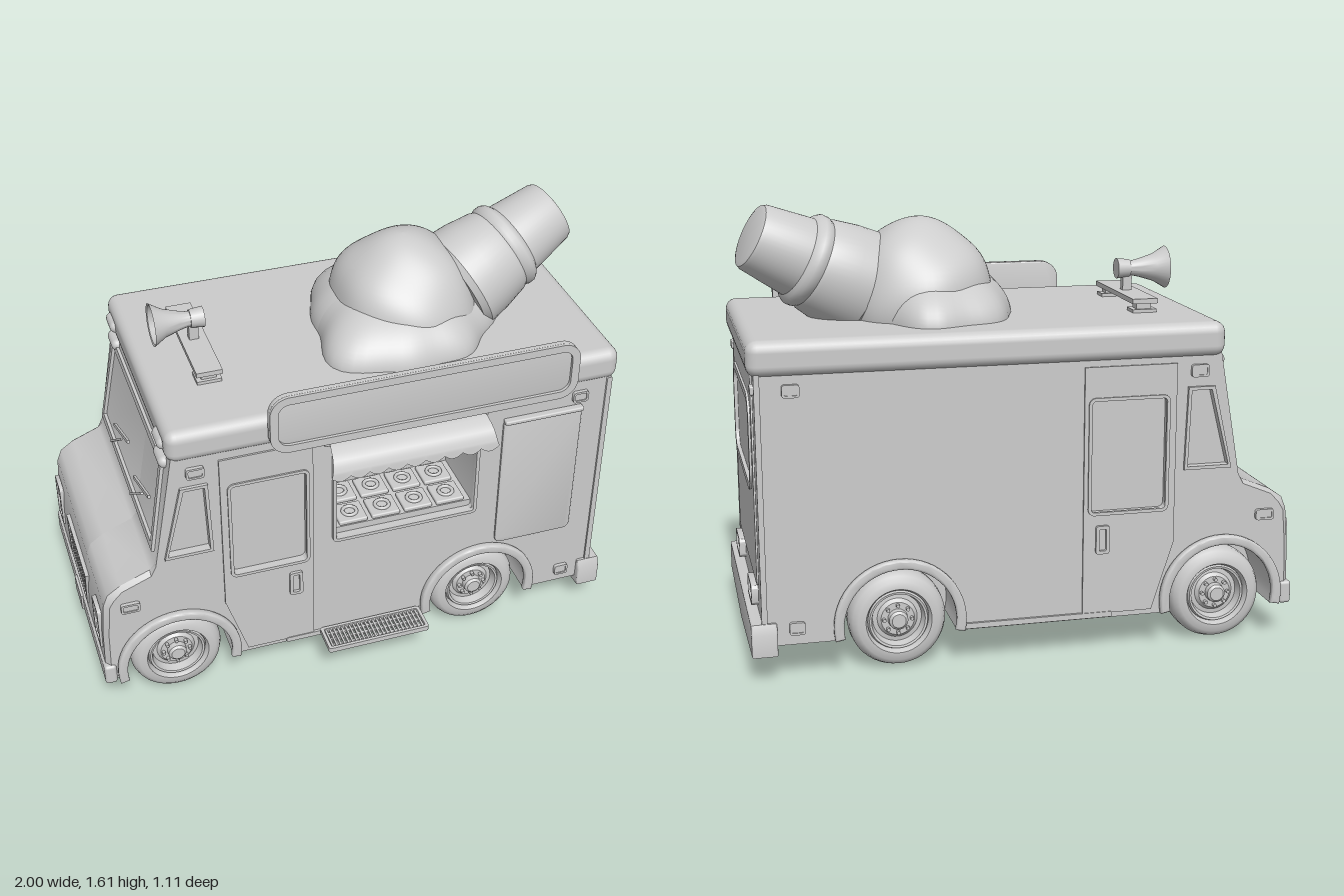
import * as THREE from 'three';
import { toCreasedNormals } from 'three/addons/utils/BufferGeometryUtils.js';
import { RoundedBoxGeometry } from 'three/addons/geometries/RoundedBoxGeometry.js';
import { ParametricGeometry } from 'three/addons/geometries/ParametricGeometry.js';

const grey = new THREE.MeshStandardMaterial({ color: 0xcccccc });
const greyDouble = new THREE.MeshStandardMaterial({ color: 0xcccccc, side: THREE.DoubleSide });
const LEFT = 0.42, RIGHT = -0.52, MID = -0.05;
const WHEELS = [-0.71, 0.48];

function add(parent, name, geo, x = 0, y = 0, z = 0, mat = grey) {
  const m = new THREE.Mesh(geo, mat);
  m.name = name;
  m.position.set(x, y, z);
  parent.add(m);
  return m;
}
const box = (w, h, d, r = 0) => r ? new RoundedBoxGeometry(w, h, d, 3, r) : new THREE.BoxGeometry(w, h, d);
const lathe = (pts, n = 40) => toCreasedNormals(new THREE.LatheGeometry(pts.map(p => new THREE.Vector2(...p)), n), 0.6);
const poly = pts => new THREE.Shape(pts.map(p => new THREE.Vector2(...p)));

// Rounded rectangle centred on cx, cy
function rr(cx, cy, w, h, r) {
  const s = new THREE.Shape(), x = w / 2 - r, y = h / 2 - r;
  s.absarc(cx + x, cy + y, r, 0, Math.PI / 2);
  s.absarc(cx - x, cy + y, r, Math.PI / 2, Math.PI);
  s.absarc(cx - x, cy - y, r, Math.PI, Math.PI * 1.5);
  s.absarc(cx + x, cy - y, r, Math.PI * 1.5, Math.PI * 2);
  s.closePath();
  return s;
}
function slab(shape, depth, holes = [], bevel = 0) {
  shape.holes.push(...holes);
  const g = new THREE.ExtrudeGeometry(shape, {
    depth: depth - 2 * bevel, curveSegments: 16, bevelEnabled: bevel > 0,
    bevelSize: bevel, bevelThickness: bevel, bevelOffset: -bevel, bevelSegments: 3,
  });
  g.translate(0, 0, bevel);
  return toCreasedNormals(g, 0.6);
}
const frame = (cx, cy, w, h, r, t, d) => slab(rr(cx, cy, w, h, r), d, [rr(cx, cy, w - 2 * t, h - 2 * t, Math.max(r - t, 0.005))]);

// Same part on both side walls
function bothSides(parent, name, make, depth) {
  add(parent, name, make(), 0, 0, LEFT);
  add(parent, name, make(), 0, 0, RIGHT - depth);
}

// Side outline of the body with wheel arches
function profile() {
  const s = poly([[-0.985, 0.15], [-0.98, 0.35], [-0.968, 0.49], [-0.95, 0.535], [-0.9, 0.57], [-0.79, 0.615], [-0.77, 0.64], [-0.69, 1.1], [0.96, 1.1], [0.96, 0.13]]);
  for (const x of [...WHEELS].reverse()) s.absarc(x, 0.18, 0.21, -0.24, Math.PI + 0.24, false);
  return s;
}
const servingHole = () => rr(0.17, 0.8, 0.54, 0.4, 0.015);
const doorWindow = () => rr(-0.35, 0.735, 0.28, 0.41, 0.02);
const quarter = s => poly([[-0.725 - s, 0.68 - s], [-0.57 + s, 0.68 - s], [-0.58 + s, 0.96 + s], [-0.655 - s, 0.96 + s]]);

function buildBody(g) {
  add(g, 'bodyCore', slab(profile(), 0.6), 0, 0, -0.5);
  add(g, 'bodyServingBay', slab(profile(), 0.3, [servingHole()]), 0, 0, 0.1);
  for (const left of [true, false]) {
    const holes = [doorWindow(), quarter(0)];
    if (left) holes.push(servingHole());
    const skin = slab(profile(), 0.02, holes), p = skin.attributes.position;
    // Chamfer the nose and hood towards the outer face
    for (let i = 0; i < p.count; i++) {
      if ((p.getZ(i) > 0.01) !== left) continue;
      if (p.getX(i) < -0.94) p.setX(i, p.getX(i) + 0.018);
      if (p.getX(i) < -0.78 && p.getY(i) > 0.5) p.setY(i, p.getY(i) - 0.015);
    }
    add(g, 'sideSkin', toCreasedNormals(skin, 0.6), 0, 0, left ? 0.4 : RIGHT);
  }
  add(g, 'underbody', box(1.86, 0.3, 0.5), 0, 0.28, MID);
  add(g, 'roofCap', box(1.69, 0.125, 0.97, 0.04), 0.14, 1.14, -0.055);
  // Fender flares
  for (const x of WHEELS) bothSides(g, 'fender', () => {
    const s = new THREE.Shape();
    s.absarc(x, 0.18, 0.235, -0.2, Math.PI + 0.2, false);
    s.absarc(x, 0.18, 0.2, Math.PI + 0.2, -0.2, true);
    return slab(s, 0.03, [], 0.008);
  }, 0.03);
  // Cab doors, window trims, handles and hinges
  bothSides(g, 'cabDoor', () => slab(poly([[-0.525, 1.06], [-0.525, 0.4], [-0.445, 0.15], [-0.185, 0.15], [-0.185, 1.06]]), 0.007, [doorWindow()]), 0.007);
  bothSides(g, 'doorWindowTrim', () => frame(-0.35, 0.735, 0.3, 0.43, 0.025, 0.012, 0.013), 0.013);
  bothSides(g, 'quarterWindowTrim', () => slab(quarter(0.012), 0.012, [quarter(0)]), 0.012);
  bothSides(g, 'doorHandle', () => frame(-0.255, 0.43, 0.05, 0.105, 0.01, 0.012, 0.018), 0.018);
  bothSides(g, 'sill', () => slab(rr(-0.02, 0.145, 0.55, 0.02, 0.005), 0.01), 0.01);
  bothSides(g, 'rearPillar', () => slab(rr(0.952, 0.65, 0.02, 0.88, 0.005), 0.008), 0.008);
  for (const [x, y, w, h] of [[-0.61, 1.03, 0.065, 0.045], [0.84, 1.03, 0.06, 0.045], [0.84, 0.19, 0.055, 0.045], [-0.875, 0.48, 0.07, 0.04]]) {
    bothSides(g, 'markerRim', () => frame(x, y, w, h, 0.01, 0.008, 0.014), 0.014);
    bothSides(g, 'markerLight', () => slab(rr(x, y, w - 0.016, h - 0.016, 0.005), 0.01), 0.01);
  }
}

function buildFront(g) {
  const f = new THREE.Group();
  f.name = 'frontFace';
  f.position.set(-0.974, 0, MID);
  f.rotation.y = -Math.PI / 2;
  g.add(f);
  const grilleShape = k => poly([[-0.16 * k, 0.335 - 0.08 * k], [0.16 * k, 0.335 - 0.08 * k], [0.19 * k, 0.335 + 0.08 * k], [-0.19 * k, 0.335 + 0.08 * k]]);
  add(f, 'grilleFrame', slab(grilleShape(1), 0.015, [grilleShape(0.88)]));
  for (let i = 0; i < 5; i++) add(f, 'grilleBar', box(0.29 + i * 0.011, 0.008, 0.012), 0, 0.28 + i * 0.027, 0.006);
  for (let i = -4; i <= 4; i++) add(f, 'grilleSlat', box(0.007, 0.14, 0.01), i * 0.034, 0.335, 0.006);
  for (const s of [-1, 1]) {
    add(f, 'headlightFrame', frame(s * 0.37, 0.35, 0.105, 0.18, 0.012, 0.013, 0.016));
    for (const y of [0.312, 0.388]) {
      const lamp = add(f, 'headlight', new THREE.SphereGeometry(0.033, 20, 12), s * 0.37, y, 0.003);
      lamp.scale.z = 0.4;
    }
  }
  add(f, 'frontBumper', box(0.96, 0.085, 0.045, 0.012), 0, 0.17, -0.004);
  add(f, 'plate', box(0.13, 0.065, 0.012), 0, 0.175, 0.02);

  // Sloping windscreen with trim and wipers
  const w = new THREE.Group();
  w.name = 'windscreen';
  w.position.set(-0.729, 0.866, MID);
  w.rotation.set(0, -Math.PI / 2, -0.173, 'ZYX');
  g.add(w);
  const pane = k => poly([[-0.43 + k, -0.19 + k], [0.43 - k, -0.19 + k], [0.405 - k, 0.19 - k], [-0.405 + k, 0.19 - k]]);
  add(w, 'windscreenTrim', slab(pane(0), 0.014, [pane(0.025)]));
  for (const x of [-0.2, 0.14]) {
    add(w, 'wiperArm', box(0.17, 0.008, 0.01), x + 0.04, -0.12, 0.018).rotation.z = 0.65;
    add(w, 'wiperBlade', box(0.22, 0.011, 0.01), x + 0.08, -0.06, 0.014).rotation.z = 0.3;
  }
  // Paired lamps on the brow
  for (const s of [-1, 1]) for (const y of [1.055, 1.135]) {
    const lamp = add(g, 'browLamp', new THREE.CapsuleGeometry(0.024, 0.06, 6, 14), -0.7, y, MID + s * 0.38);
    lamp.rotation.x = Math.PI / 2;
  }
}

function buildRear(g) {
  const r = new THREE.Group();
  r.name = 'rearFace';
  r.position.set(0.96, 0, MID);
  r.rotation.y = Math.PI / 2;
  g.add(r);
  add(r, 'rearPanel', slab(rr(0, 0.7, 0.75, 0.76, 0.01), 0.006, [rr(0, 0.815, 0.64, 0.31, 0.07)]));
  add(r, 'rearWindowTrim', frame(0, 0.815, 0.68, 0.35, 0.085, 0.025, 0.014));
  for (const s of [-1, 1]) {
    add(r, 'tailLightRim', frame(s * 0.27, 0.275, 0.16, 0.075, 0.018, 0.01, 0.025));
    add(r, 'tailLight', slab(rr(s * 0.27, 0.275, 0.14, 0.055, 0.01), 0.018));
    add(r, 'topMarker', box(0.05, 0.03, 0.015, 0.005), s * 0.42, 1.03, 0.005);
  }
  add(r, 'rearBumper', slab(poly([[-0.495, 0.1], [0, 0.065], [0.495, 0.1], [0.495, 0.18], [0.48, 0.215], [-0.48, 0.215], [-0.495, 0.18]]), 0.09, [], 0.006), 0, 0, -0.05);
}

function buildServing(g) {
  // Counter with tubs inside the opening
  add(g, 'counter', box(0.54, 0.03, 0.3), 0.17, 0.612, 0.25);
  for (let i = 0; i < 4; i++) for (let j = 0; j < 2; j++) {
    const x = -0.02 + i * 0.127, z = 0.22 + j * 0.125;
    add(g, 'tubLid', box(0.11, 0.018, 0.105, 0.006), x, 0.635, z);
    add(g, 'tubOpening', new THREE.TorusGeometry(0.026, 0.007, 8, 20), x, 0.646, z).rotation.x = Math.PI / 2;
  }
  add(g, 'backCabinet', box(0.54, 0.18, 0.05), 0.17, 0.69, 0.125);
  add(g, 'backPanelTrim', frame(0.17, 0.88, 0.48, 0.13, 0.015, 0.012, 0.015), 0, 0, 0.1);
  add(g, 'openingTrim', frame(0.17, 0.8, 0.565, 0.425, 0.02, 0.013, 0.015), 0, 0, LEFT);
  // Curved awning with a scalloped valance
  const section = new THREE.CatmullRomCurve3([[1.055, 0.42], [1.045, 0.46], [1.02, 0.505], [0.985, 0.525], [0.965, 0.53]].map(p => new THREE.Vector3(0, ...p)));
  add(g, 'awning', new ParametricGeometry((u, v, t) => {
    section.getPoint(v, t);
    t.x = 0.165 + (u - 0.5) * (0.58 + 0.05 * v);
    t.y -= 0.018 * Math.abs(Math.sin(u * Math.PI * 9)) * Math.max(0, v - 0.75) * 4;
  }, 108, 16), 0, 0, 0, greyDouble);
  add(g, 'awningRail', box(0.62, 0.03, 0.02, 0.006), 0.165, 1.05, 0.428);
  // Side board with a small hood
  add(g, 'menuBoard', slab(rr(0.695, 0.7, 0.31, 0.58, 0.025), 0.012, [], 0.003), 0, 0, LEFT);
  add(g, 'menuHood', box(0.31, 0.018, 0.03, 0.006), 0.695, 0.985, 0.435);
  // Folding step
  add(g, 'stepFrame', frame(0, 0, 0.4, 0.12, 0.01, 0.012, 0.02), 0.035, 0.155, 0.495).rotation.x = -Math.PI / 2;
  for (let i = 0; i < 24; i++) add(g, 'stepSlat', box(0.008, 0.012, 0.1), -0.145 + i * 0.0157, 0.163, 0.495);
  for (let j = 0; j < 3; j++) add(g, 'stepBar', box(0.38, 0.01, 0.01), 0.035, 0.16, 0.465 + j * 0.03);
  for (const x of [-0.12, 0.19]) add(g, 'stepBracket', box(0.03, 0.02, 0.13), x, 0.145, 0.46);
  // Long roof sign
  add(g, 'signBoard', slab(rr(0.225, 1.185, 1.15, 0.23, 0.07), 0.022, [], 0.004), 0, 0, 0.434);
  add(g, 'signBorder', frame(0.225, 1.185, 1.15, 0.23, 0.07, 0.03, 0.012), 0, 0, 0.456);
  for (const x of [-0.2, 0.65]) add(g, 'signMount', box(0.04, 0.04, 0.03), x, 1.14, 0.425);
}

function buildWheels(g) {
  for (const x of WHEELS) for (const s of [1, -1]) {
    const w = new THREE.Group();
    w.name = 'wheel';
    w.position.set(x, 0.175, MID + s * 0.378);
    w.rotation.x = s * Math.PI / 2;
    g.add(w);
    add(w, 'tyre', lathe([[0, -0.07], [0.14, -0.07], [0.163, -0.06], [0.173, -0.035], [0.175, 0], [0.173, 0.035], [0.163, 0.06], [0.145, 0.073], [0.118, 0.075], [0.11, 0.06], [0.108, 0.03]], 48));
    add(w, 'rim', lathe([[0.11, 0.05], [0.104, 0.064], [0.096, 0.062], [0.088, 0.03], [0.072, 0.032], [0.06, 0.045], [0.036, 0.045], [0.034, 0.066], [0.025, 0.074], [0, 0.074]]));
    for (let i = 0; i < 8; i++) {
      const a = i * Math.PI / 4;
      add(w, 'wheelNut', new THREE.CylinderGeometry(0.007, 0.007, 0.02, 6), 0.05 * Math.cos(a), 0.05, 0.05 * Math.sin(a));
    }
  }
}

function buildHorn(g) {
  add(g, 'hornRail', box(0.095, 0.018, 0.46), -0.48, 1.245, -0.06);
  for (const z of [-0.25, 0.13]) {
    add(g, 'hornFoot', box(0.09, 0.015, 0.07), -0.48, 1.207, z);
    add(g, 'hornPost', box(0.055, 0.035, 0.045), -0.48, 1.226, z);
  }
  add(g, 'hornStand', box(0.035, 0.07, 0.03), -0.48, 1.285, -0.06);
  const h = add(g, 'hornBell', lathe([[0.028, 0], [0.028, 0.03], [0.035, 0.06], [0.052, 0.115], [0.076, 0.155], [0.079, 0.16], [0.071, 0.157], [0.047, 0.115], [0.025, 0.06], [0, 0.05]], 32), -0.47, 1.335, -0.06, greyDouble);
  h.rotation.z = Math.PI / 2;
  add(g, 'hornDriver', new THREE.CylinderGeometry(0.033, 0.038, 0.05, 24), -0.465, 1.335, -0.06).rotation.z = Math.PI / 2;
}

function buildIceCream(g) {
  // Lumpy scoop and spreading drips, both shaped from spheres
  function blob(name, x, y, z, rule) {
    const geo = new THREE.SphereGeometry(1, 64, 40), p = geo.attributes.position, v = new THREE.Vector3();
    for (let i = 0; i < p.count; i++) {
      rule(v.fromBufferAttribute(p, i), Math.atan2(v.z, v.x));
      p.setXYZ(i, v.x, v.y, v.z);
    }
    geo.computeVertexNormals();
    add(g, name, geo, x, y, z);
  }
  blob('scoop', 0.31, 1.24, -0.05, v => {
    const k = 1 + 0.025 * Math.sin(4 * v.x + 2) * Math.cos(5 * v.z) + 0.015 * Math.sin(7 * v.y + 3 * v.x);
    v.multiply(new THREE.Vector3(0.275 * k, 0.3 * k, 0.29 * k));
  });
  blob('meltedDrips', 0.28, 1.19, -0.03, (v, a) => {
    const lobe = 1 + 0.09 * Math.sin(3 * a + 0.6) + 0.05 * Math.cos(5 * a) + 0.03 * Math.sin(8 * a);
    const lip = 1 + (lobe - 1) * Math.hypot(v.x, v.z);
    v.set(v.x * 0.335 * lip, v.y * 0.2, v.z * 0.37 * lip);
  });
  // Wafer cone lying on its side
  const cone = add(g, 'waferCone', lathe([[0, 0], [0.1, 0], [0.116, 0.005], [0.123, 0.018], [0.147, 0.19], [0.162, 0.2], [0.172, 0.215], [0.172, 0.235], [0.165, 0.25], [0.173, 0.265], [0.192, 0.36], [0.2, 0.44], [0.185, 0.465], [0, 0.465]], 48), 0.925, 1.505, -0.115);
  cone.quaternion.setFromUnitVectors(new THREE.Vector3(0, 1, 0), new THREE.Vector3(-0.87, -0.43, 0.16).normalize());
}

export function createModel() {
  const g = new THREE.Group();
  g.name = 'iceCreamTruck';
  for (const build of [buildBody, buildFront, buildRear, buildServing, buildWheels, buildHorn, buildIceCream]) build(g);
  return g;
}
